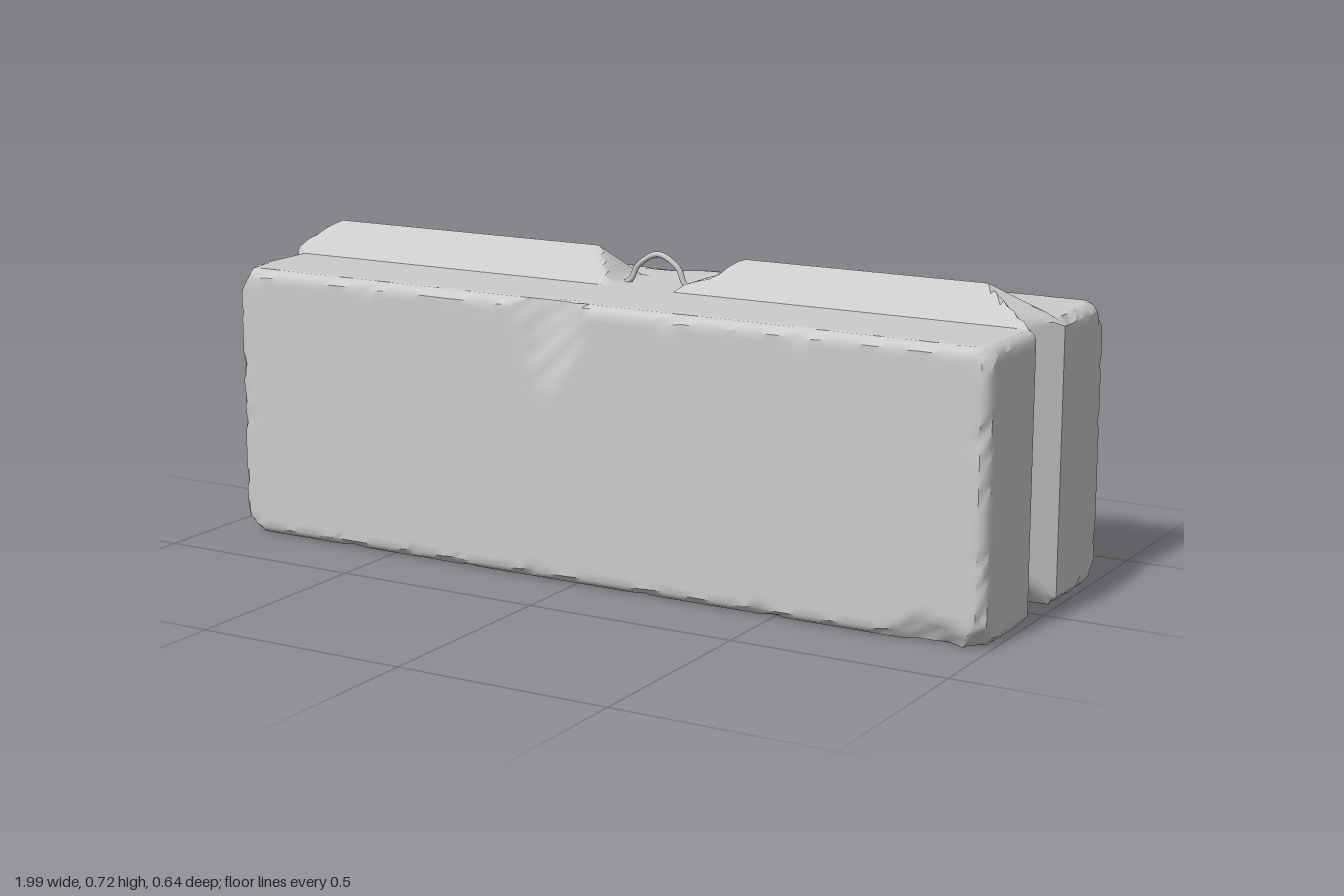
import * as THREE from 'three';
import { mergeVertices, toCreasedNormals } from 'three/addons/utils/BufferGeometryUtils.js';

const X0 = -0.93, X1 = 0.995, H = 0.642, D = 0.32;
const KEY_HALF = 0.08, KEY_HEIGHT = 0.075;
const clamp = THREE.MathUtils.clamp;

// Smooth, repeatable unevenness in the range -1..1
const wave = (x, y, z) =>
  (Math.sin(17 * x + 9 * y + 5 * z) + Math.sin(31 * x - 23 * y + 19 * z + 2) + Math.sin(53 * z + 47 * y - 43 * x + 4)) / 3;

// Height of a track at t, from [t, height] pairs
function track(pairs, t) {
  if (t <= pairs[0][0]) return pairs[0][1];
  for (let i = 1; i < pairs.length; i++) {
    const [a, va] = pairs[i - 1], [b, vb] = pairs[i];
    if (t <= b) return va + (vb - va) * (t - a) / (b - a);
  }
  return pairs[pairs.length - 1][1];
}

const triangle = (z) => KEY_HEIGHT * Math.max(0, 1 - Math.abs(z) / KEY_HALF);
const ridgeTrack = [[-0.94, 0.01], [-0.85, 0.075], [-0.12, 0.075], [-0.05, 0],
  [0.12, 0], [0.14, 0.018], [0.19, 0.03], [0.25, 0.075], [0.91, 0.075], [0.98, 0.01]];
const tongueTrack = [[0, 0], [0.06, 0.048], [0.15, 0.067], [0.25, 0.07],
  [0.42, 0.07], [0.55, 0.053], [0.62, 0.03], [0.65, 0.01]];

// Breaks: a plane through a point, fading out along x when bend is set
const breaks = [
  { p: [-0.06, H, 0.283], n: [0, 0.18, 1], bend: 3.5 },
  { p: [-0.08, 0.645, -0.16], n: [0, 1, -0.27], bend: 0.35 },
  { p: [-0.06, 0.61, -0.285], n: [0, 0.3, -1], bend: 0.5 },
  { p: [0.72, H, -0.295], n: [0, 0.6, -1], bend: 3 },
  { p: [0.88, 0.06, D], n: [0.15, -0.5, 1], bend: 2 },
  { p: [X0 + 0.1, H, -D], n: [-1, 0.5, -0.9] },
  { p: [X1 - 0.05, H, -D], n: [1, 0.6, -0.7] },
  { p: [X0 + 0.05, H, D], n: [-1, 0.7, 0.6] },
  { p: [X1 - 0.04, H, D], n: [1, 0.7, 0.8] },
  { p: [X1 - 0.07, 0, D], n: [1, -1, 0.8] },
  { p: [X1 - 0.06, 0, -D], n: [1, -0.8, -1] },
  { p: [X0 + 0.06, 0, D], n: [-1, -1, 0.8] },
  { p: [X0 + 0.05, 0, -D], n: [-1, -0.7, -1] },
].map((b) => ({ ...b, p: new THREE.Vector3(...b.p), n: new THREE.Vector3(...b.n).normalize() }));

// Worn edges: a chamfer of uneven width between every two faces
function wearEdges(v) {
  const lo = [X0, 0, -D], hi = [X1, H, D], c = v.toArray();
  const size = 0.014 + 0.013 * Math.max(0, wave(v.x * 1.3, v.y * 2, v.z * 2));
  const side = c.map((q, i) => (q - lo[i] < hi[i] - q ? 1 : -1));
  const dist = c.map((q, i) => Math.min(q - lo[i], hi[i] - q));
  for (const [a, b] of [[0, 1], [0, 2], [1, 2]]) {
    const push = (size - dist[a] - dist[b]) / 2;
    if (push > 0) {
      dist[a] += push; dist[b] += push;
      c[a] += side[a] * push; c[b] += side[b] * push;
    }
  }
  v.fromArray(c);
}

function breakOff(v) {
  for (const { p, n, bend = 0 } of breaks) {
    const dx = v.x - p.x;
    const over = v.clone().sub(p).dot(n) - bend * dx * dx * (bend ? 1 : 0)
      + (bend ? -dx * n.x : 0) + 0.004 * wave(v.x * 2, v.y * 2, v.z * 2);
    if (over > 0) v.addScaledVector(n, -over);
  }
}

// Ridge on top and tongue at one end, matching grooves below and at the other end
function addKeys(v) {
  const { x, y, z } = v, tri = triangle(z);
  const left = clamp((-0.6 - x) / (-0.6 - X0), 0, 1);
  const right = clamp((x - 0.6) / (X1 - 0.6), 0, 1);
  v.x += -left * Math.min(tri, track(tongueTrack, y), 0.07) - right * tri;
  const up = y / H;
  v.y += up * Math.min(tri, track(ridgeTrack, x)) + (1 - up) * Math.min(tri, 0.068);
}

function blockGeometry() {
  const geo = new THREE.BoxGeometry(X1 - X0, H, 2 * D, 110, 36, 32);
  geo.translate((X0 + X1) / 2, H / 2, 0);
  geo.deleteAttribute('uv');
  geo.deleteAttribute('normal');
  const pos = geo.attributes.position, v = new THREE.Vector3();
  for (let i = 0; i < pos.count; i++) {
    v.fromBufferAttribute(pos, i);
    wearEdges(v);
    breakOff(v);
    addKeys(v);
    pos.setXYZ(i, v.x, v.y, v.z);
  }
  return toCreasedNormals(mergeVertices(geo, 1e-5), 0.6);
}

export function createModel() {
  const group = new THREE.Group();
  const material = new THREE.MeshStandardMaterial({ color: 0xcccccc });

  const block = new THREE.Mesh(blockGeometry(), material);
  block.name = 'concreteBlock';
  group.add(block);

  // Lifting loop in the gap of the ridge
  const path = new THREE.CatmullRomCurve3([
    [-0.06, 0.632, 0.016], [-0.03, 0.648, 0.015], [-0.012, 0.682, 0.013], [0.04, 0.711, 0.01],
    [0.09, 0.682, 0.006], [0.105, 0.648, 0.004], [0.125, 0.632, 0.002],
  ].map((p) => new THREE.Vector3(...p)));
  const loop = new THREE.Mesh(new THREE.TubeGeometry(path, 32, 0.007, 8), material);
  loop.name = 'liftingLoop';
  group.add(loop);

  return group;
}
